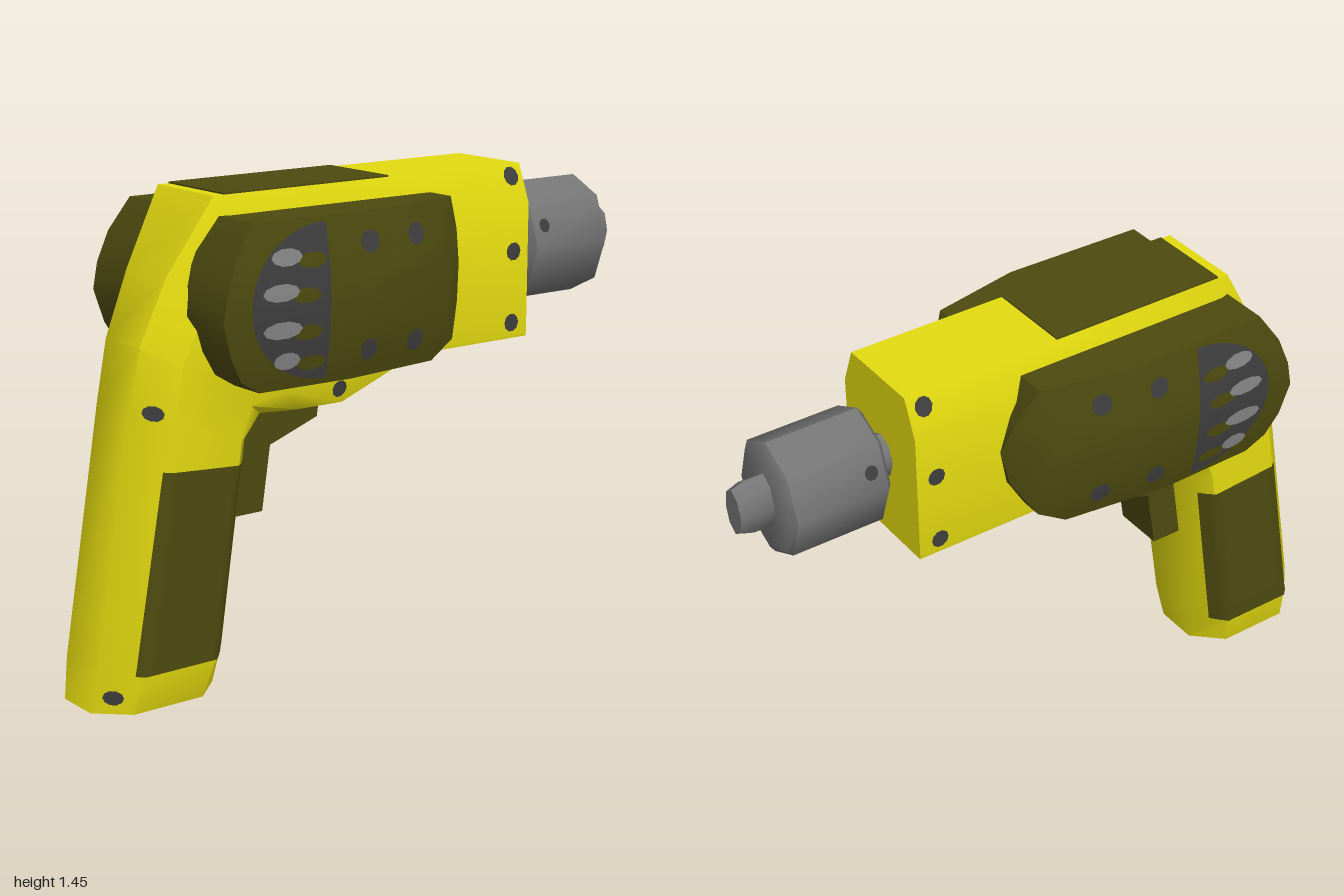
import * as THREE from 'three';
import { toCreasedNormals } from 'three/addons/utils/BufferGeometryUtils.js';

const mat = (name, color, side = THREE.FrontSide) => {
  const m = new THREE.MeshStandardMaterial({ color, side });
  m.name = name;
  return m;
};

// Skin a closed surface over rings of equal point count, capped at both ends.
function loft(rings, crease) {
  const n = rings[0].length, last = (rings.length - 1) * n, index = [];
  for (let i = 0; i < rings.length - 1; i++) {
    for (let j = 0; j < n; j++) {
      const a = i * n + j, b = i * n + (j + 1) % n;
      index.push(a, b, b + n, a, b + n, a + n);
    }
  }
  for (let j = 1; j < n - 1; j++) {
    index.push(0, j + 1, j, last, last + j, last + j + 1);
  }
  const g = new THREE.BufferGeometry();
  g.setAttribute('position', new THREE.Float32BufferAttribute(rings.flat(2), 3));
  g.setIndex(index);
  return toCreasedNormals(g, crease);
}

// Lay a flat (x, y) geometry onto the +z side of the target meshes.
function drape(geometry, targets, lift, fallback) {
  const ray = new THREE.Raycaster(), p = geometry.attributes.position;
  const dir = new THREE.Vector3(0, 0, -1);
  for (let i = 0; i < p.count; i++) {
    ray.set(new THREE.Vector3(p.getX(i), p.getY(i), 2), dir);
    const hit = ray.intersectObjects(targets)[0];
    const z = hit && hit.point.z > 0 ? hit.point.z : fallback;
    p.setZ(i, z + lift);
  }
  geometry.computeVertexNormals();
  return geometry;
}

export function createModel() {
  const yellow = mat('yellow housing', 0xe3da0f);
  const olive = mat('dark olive rubber', 0x4d4a0f, THREE.DoubleSide);
  const steel = mat('grey steel', 0x747474);
  const dark = mat('dark grey', 0x3e3e3e, THREE.DoubleSide);
  const light = mat('light grey', 0x858585, THREE.DoubleSide);

  const model = new THREE.Group();
  model.name = 'drill';
  const drill = new THREE.Group();
  drill.name = 'drillBody';
  drill.rotation.y = -0.1745;
  drill.position.set(-0.01, 0, 0.057);
  model.add(drill);
  const add = (name, geometry, material, parent = drill) => {
    const m = new THREE.Mesh(geometry, material);
    m.name = name;
    parent.add(m);
    return m;
  };

  // Housing: octagonal sections swept up the handle and along the barrel.
  // back x, y, front x, y, half width, back flat, back bevel, front flat, front bevel
  const sections = [
    [-0.99, 0, -0.575, 0, 0.155, 0.07, 0.22, 0.07, 0.22],
    [-0.97, 0.12, -0.555, 0.12, 0.187, 0.086, 0.22, 0.09, 0.2],
    [-0.848, 0.85, -0.465, 0.72, 0.187, 0.086, 0.22, 0.09, 0.2],
    [-0.812, 1.03, -0.44, 0.8, 0.187, 0.088, 0.2, 0.13, 0.18],
    [-0.73, 1.22, -0.32, 0.797, 0.187, 0.1, 0.18, 0.15, 0.16],
    [-0.595, 1.44, -0.17, 0.8, 0.187, 0.14, 0.17, 0.165, 0.15],
    [0.02, 1.44, 0.09, 0.91, 0.187, 0.14, 0.22, 0.185, 0.02],
    [0.529, 1.44, 0.529, 0.91, 0.187, 0.14, 0.22, 0.185, 0.02],
  ];
  const rings = sections.map(([bx, by, fx, fy, hw, bl, bb, fl, fb]) => {
    const at = (t, w) => [bx + (fx - bx) * t, by + (fy - by) * t, w];
    return [at(0, bl), at(bb, hw), at(1 - fb, hw), at(1, fl),
      at(1, -fl), at(1 - fb, -hw), at(bb, -hw), at(0, -bl)];
  });
  const housing = add('housing', loft(rings, 0.75), yellow);

  // Panel on the flat top
  const top = new THREE.BoxGeometry(0.58, 0.008, 0.278);
  top.translate(-0.27, 1.441, 0);
  add('topPanel', top, olive);

  // Trigger
  const triggerShape = new THREE.Shape([
    [-0.52, 0.49], [-0.4, 0.49], [-0.37, 0.685], [-0.2, 0.745], [-0.19, 0.81], [-0.5, 0.81],
  ].map(([x, y]) => new THREE.Vector2(x, y)));
  const trigger = new THREE.ExtrudeGeometry(triggerShape, { depth: 0.166, bevelEnabled: false });
  trigger.translate(0, 0, -0.083);
  add('trigger', trigger, olive);

  // Chuck, its neck and its nose, turned on the barrel axis
  const turned = (name, profile, flatten) => {
    const pts = profile.map(([r, x]) => new THREE.Vector2(r, x));
    const g = new THREE.LatheGeometry(pts, 8);
    g.rotateZ(-Math.PI / 2);
    g.scale(1, 1, flatten);
    g.translate(0, 1.172, 0);
    return add(name, toCreasedNormals(g, 0.85), steel);
  };
  turned('chuckNeck', [[0, 0.5], [0.07, 0.5], [0.07, 0.61], [0, 0.61]], 0.85);
  const chuck = turned('chuck',
    [[0, 0.585], [0.165, 0.585], [0.187, 0.6], [0.187, 0.89], [0.165, 0.905], [0, 0.905]], 0.83);
  turned('chuckNose', [[0, 0.88], [0.09, 0.88], [0.09, 0.965], [0.075, 1.005], [0, 1.005]], 0.58);

  // Everything on one side, mirrored for the other
  const side = new THREE.Group();
  side.name = 'leftSide';

  // Side pad: rounded outline with a domed face sloping down toward the chuck
  const outline = [
    [-0.7, 1.12], [-0.67, 1.02], [-0.63, 0.95], [-0.565, 0.91], [-0.25, 0.908], [0.08, 0.908],
    [0.17, 0.96], [0.23, 1.06], [0.25, 1.17], [0.215, 1.28], [0.16, 1.385],
    [-0.13, 1.385], [-0.36, 1.385], [-0.585, 1.385], [-0.65, 1.29], [-0.685, 1.2],
  ];
  const heights = [[-0.7, 0.335], [-0.13, 0.345], [0.163, 0.285], [0.25, 0.19]];
  const padHeight = (x, y) => {
    let k = 0;
    while (k < heights.length - 2 && x > heights[k + 1][0]) k++;
    const [x0, h0] = heights[k], [x1, h1] = heights[k + 1];
    return h0 + (h1 - h0) * (x - x0) / (x1 - x0) - 0.03 * ((y - 1.15) / 0.235) ** 2;
  };
  const padRings = [1, 1, 0.9, 0.75, 0.5, 0.25, 0.05].map((s, i) => outline.map(([px, py]) => {
    const x = -0.22 + (px + 0.22) * s, y = 1.15 + (py - 1.15) * s;
    return [x, y, i === 0 ? 0.1 : padHeight(x, y)];
  }));
  const pad = add('sidePad', loft(padRings, 0.7), olive, side);

  // Handle grip panel: a grid bent to the leaning handle
  const grip = new THREE.PlaneGeometry(1, 1, 14, 14), gp = grip.attributes.position;
  for (let i = 0; i < gp.count; i++) {
    const s = gp.getX(i) + 0.5, t = gp.getY(i) + 0.5;
    gp.setXY(i, -0.9 + 0.1 * t + s * (0.304 - 0.019 * t), 0.118 + t * (0.577 - 0.02 * s));
  }
  add('gripPanel', drape(grip, [housing], 0.006, 0.15), olive, side);

  // Screws on housing, pad and chuck
  const spot = (name, x, y, rx, ry, target, material, lift) => {
    const g = new THREE.CircleGeometry(1, 10);
    g.scale(rx, ry, 1);
    g.translate(x, y, 0);
    add(name, drape(g, [target], lift, 0.13), material, side);
  };
  for (const [x, y, r] of [[0.48, 1.405, 0.028], [0.467, 1.18, 0.028], [0.463, 0.96, 0.028],
    [-0.19, 0.845, 0.026], [-0.805, 0.855, 0.022], [-0.945, 0.05, 0.022]]) {
    spot('housingScrew', x, y, r, r, housing, dark, 0.005);
  }
  for (const x of [-0.2, -0.015]) {
    for (const y of [0.99, 1.3]) spot('padScrew', x, y, 0.033, 0.033, pad, dark, 0.004);
  }
  spot('chuckScrew', 0.643, 1.235, 0.021, 0.021, chuck, dark, 0.004);

  // Half-round vent with split slots
  const vent = new THREE.RingGeometry(0.001, 1, 20, 8, Math.PI / 2, Math.PI);
  vent.scale(0.265, 0.222, 1);
  vent.translate(-0.345, 1.148, 0);
  add('vent', drape(vent, [pad], 0.004, 0.33), dark, side);
  for (const [x, y, w] of [[-0.49, 1.285, 0.052], [-0.515, 1.19, 0.062],
    [-0.51, 1.085, 0.066], [-0.49, 0.995, 0.045]]) {
    spot('ventSlotShade', x + 0.085, y - 0.015, 0.05, 0.022, pad, olive, 0.008);
    spot('ventSlot', x, y, w, 0.025, pad, light, 0.009);
  }

  const otherSide = side.clone();
  otherSide.name = 'rightSide';
  otherSide.scale.z = -1;
  drill.add(side, otherSide);
  return model;
}
